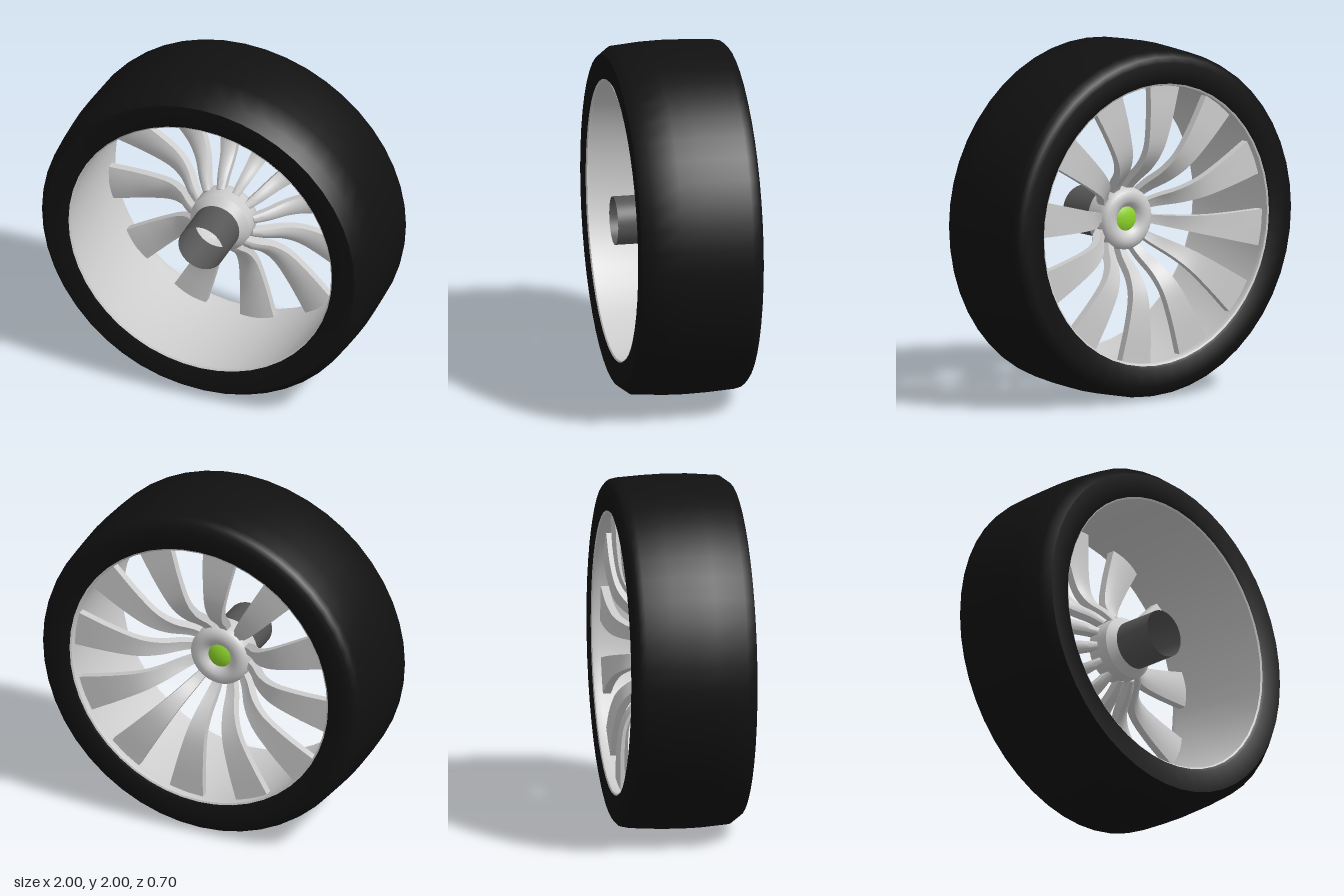
import * as THREE from 'three';
import { toCreasedNormals } from 'three/addons/utils/BufferGeometryUtils.js';

const SEGMENTS = 48;
const metal = new THREE.MeshStandardMaterial({ color: 0xcccccc, side: THREE.DoubleSide });
const rubber = new THREE.MeshStandardMaterial({ color: 0x111111 });
const darkMetal = new THREE.MeshStandardMaterial({ color: 0x555555, side: THREE.DoubleSide });
const green = new THREE.MeshStandardMaterial({ color: 0x8fd62a, side: THREE.DoubleSide });

// Turns a profile of [radius, z] points around the wheel axis (z)
function turned(name, profile, material, crease = 0.6) {
  const points = profile.map(([r, z]) => new THREE.Vector2(r, z));
  const geometry = new THREE.LatheGeometry(points, SEGMENTS).rotateX(Math.PI / 2);
  const mesh = new THREE.Mesh(toCreasedNormals(geometry, crease), material);
  mesh.name = name;
  return mesh;
}

// A fan-shaped blade that sweeps backwards in an S from the hub to the rim
function spokeGeometry() {
  const path = new THREE.CatmullRomCurve3([
    [0.165, -0.03], [0.23, -0.085], [0.32, -0.185], [0.42, -0.245], [0.58, -0.268], [0.794, -0.268],
  ].map(([r, z]) => new THREE.Vector3(0, r, z)));
  const spread = THREE.MathUtils.degToRad(15);
  const thickness = 0.045;
  const geometry = new THREE.BoxGeometry(1, 1, 1, 6, 20, 1);
  const pos = geometry.attributes.position;
  for (let i = 0; i < pos.count; i++) {
    const u = pos.getX(i), t = pos.getY(i) + 0.5, w = pos.getZ(i);
    const p = path.getPoint(t), tangent = path.getTangent(t);
    const bulge = w > 0 ? 0.012 * (1 - 4 * u * u) : 0;
    const offset = w * thickness + bulge;
    // keep the root and tip square to the axis
    const r = Math.min(0.796, p.y - tangent.z * offset);
    const z = p.z + tangent.y * offset;
    pos.setXYZ(i, r * Math.sin(u * spread), r * Math.cos(u * spread), z);
  }
  return toCreasedNormals(geometry, 0.6);
}

export function createModel() {
  const wheel = new THREE.Group();
  wheel.name = 'wheel';

  const axle = new THREE.Group();
  axle.name = 'wheelAssembly';
  axle.position.y = 1;
  wheel.add(axle);

  // Tyre: rounded back shoulder, chamfered front shoulder
  axle.add(turned('tyre', [
    [0.797, -0.335], [0.82, -0.35], [0.92, -0.35], [0.955, -0.342], [0.978, -0.32], [0.987, -0.28],
    [0.996, -0.13], [1, 0], [0.997, 0.12], [0.983, 0.29], [0.938, 0.35], [0.82, 0.35],
    [0.797, 0.34], [0.797, -0.335],
  ], rubber));

  // Rim barrel with a small lip on each side
  axle.add(turned('rim', [
    [0.803, -0.343], [0.793, -0.338], [0.79, -0.325], [0.795, -0.3], [0.795, 0.325], [0.791, 0.338], [0.8, 0.345],
  ], metal));

  // Hub: rounded ring at the back, short cone at the front
  axle.add(turned('hub', [
    [0.068, -0.068], [0.085, -0.085], [0.105, -0.097], [0.13, -0.1], [0.158, -0.092], [0.175, -0.073],
    [0.18, -0.045], [0.178, 0.055], [0.137, 0.1],
  ], metal, 0.7));

  // Green centre cap
  axle.add(turned('centreCap', [
    [0, -0.084], [0.03, -0.082], [0.055, -0.076], [0.07, -0.068],
  ], green));

  // Open axle sleeve
  axle.add(turned('axleSleeve', [[0.137, 0.09], [0.137, 0.335]], darkMetal));

  // Twelve swept spokes
  const blade = spokeGeometry();
  for (let i = 0; i < 12; i++) {
    const spoke = new THREE.Mesh(blade, metal);
    spoke.name = 'spoke';
    spoke.rotation.z = THREE.MathUtils.degToRad(7.5 + 30 * i);
    axle.add(spoke);
  }
  return wheel;
}
